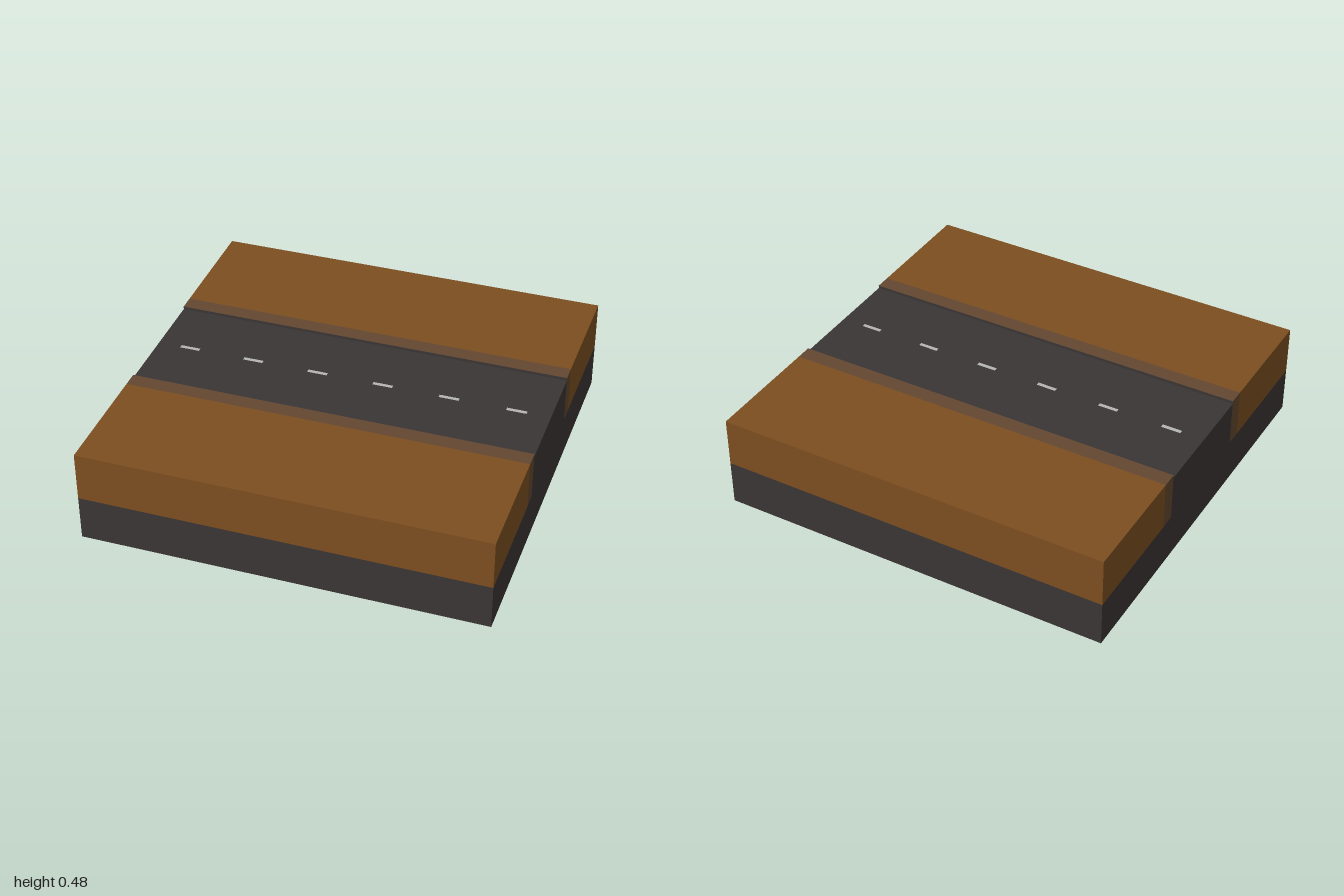
import * as THREE from 'three';

export function createModel() {
  const model = new THREE.Group();
  const material = (name, color) =>
    new THREE.MeshStandardMaterial({ name, color, side: THREE.DoubleSide });
  const dirt = material('brown dirt', 0x7c4e20);
  const verge = material('dusty verge', 0x644830);
  const asphalt = material('dark asphalt', 0x3b3535);
  const paint = material('grey paint', 0xb4b4b4);

  const TOP = 0.48, ROAD = 0.465, BASE = 0.23, EDGE = 0.32, SHOULDER = 0.4;

  const add = (name, geometry, mat) => {
    const mesh = new THREE.Mesh(geometry, mat);
    mesh.name = name;
    model.add(mesh);
    return mesh;
  };

  // Horizontal strip facing up, from z0 to z1
  const flat = (name, width, z0, z1, x, y, mat) => {
    const g = new THREE.PlaneGeometry(width, z1 - z0).rotateX(-Math.PI / 2);
    add(name, g.translate(x, y, (z0 + z1) / 2), mat);
  };

  // Full-length upright strip facing +z or -z
  const wall = (name, y0, y1, z, facing, mat) => {
    const g = new THREE.PlaneGeometry(2, y1 - y0);
    if (facing < 0) g.rotateY(Math.PI);
    add(name, g.translate(0, (y0 + y1) / 2, z), mat);
  };

  // End face drawn as (z, y) points on the side sx
  const end = (name, points, sx, mat) => {
    const shape = new THREE.Shape(points.map(([z, y]) => new THREE.Vector2(-sx * z, y)));
    const g = new THREE.ShapeGeometry(shape).rotateY(sx * Math.PI / 2);
    add(name, g.translate(sx, 0, 0), mat);
  };

  // Road surface
  flat('roadSurface', 2, -EDGE, EDGE, 0, ROAD, asphalt);

  // Banks, verges, kerb steps and outer walls on both sides of the road
  for (const s of [-1, 1]) {
    const strip = (name, a, b, mat) =>
      flat(name, 2, Math.min(s * a, s * b), Math.max(s * a, s * b), 0, TOP, mat);
    strip('bankTop', SHOULDER, 1, dirt);
    strip('vergeTop', EDGE, SHOULDER, verge);
    wall('vergeStep', ROAD, TOP, s * EDGE, -s, asphalt);
    wall('bankWall', BASE, TOP, s, s, dirt);
    wall('baseWall', 0, BASE, s, s, asphalt);
  }

  // End faces, with the verge rounded off at its lower inner corner
  const corner = [[EDGE, 0.245], [0.325, 0.234], [0.335, BASE]];
  const half = [[EDGE, ROAD], ...corner, [1, BASE], [1, 0]];
  const mirror = (pts) => pts.map(([z, y]) => [-z, y]);
  const road = [...half, ...mirror(half).reverse()];
  const bank = [[SHOULDER, BASE], [1, BASE], [1, TOP], [SHOULDER, TOP]];
  const vergeEnd = [[EDGE, TOP], ...corner, [SHOULDER, BASE], [SHOULDER, TOP]];
  for (const sx of [-1, 1]) {
    end('roadEnd', road, sx, asphalt);
    for (const flip of [(p) => p, mirror]) {
      end('bankEnd', flip(bank), sx, dirt);
      end('vergeEnd', flip(vergeEnd), sx, verge);
    }
  }

  // Dashed centre line
  for (let i = 0; i < 6; i++) {
    flat('laneDash', 0.1, -0.01, 0.01, (i - 2.5) / 3, ROAD + 0.002, paint);
  }

  return model;
}
